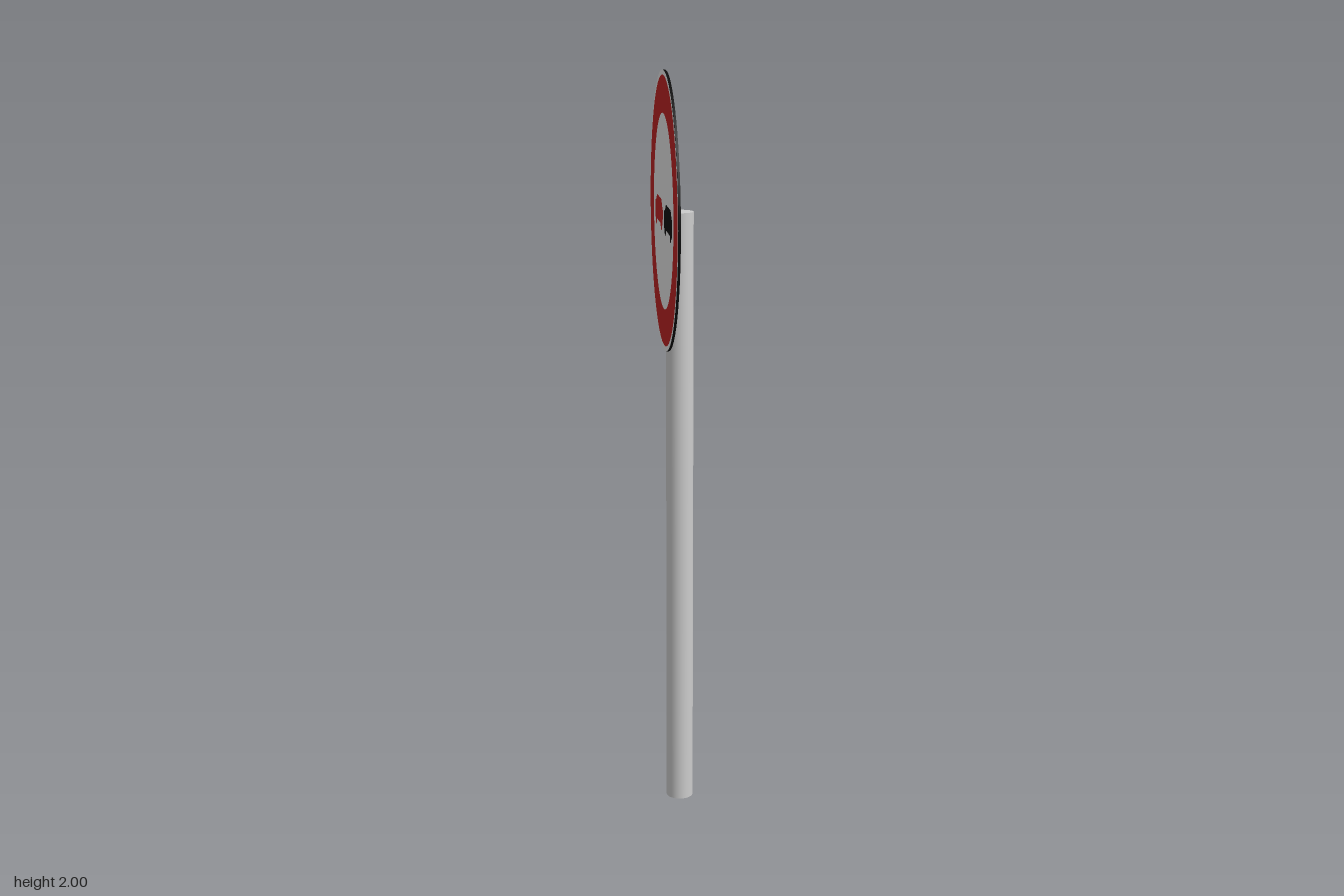
import * as THREE from 'three';

const mat = (name, color) => {
  const m = new THREE.MeshStandardMaterial({ color });
  m.name = name;
  return m;
};

export function createModel() {
  const grey = mat('poleGrey', 0xcccccc);
  const black = mat('black', 0x0d0d0d);
  const white = mat('white', 0xe0e0e0);
  const red = mat('red', 0xb82222);

  const model = new THREE.Group();
  model.name = 'roadSign';
  const add = (parent, name, geometry, material, x = 0, y = 0, z = 0) => {
    const mesh = new THREE.Mesh(geometry, material);
    mesh.name = name;
    mesh.position.set(x, y, z);
    parent.add(mesh);
    return mesh;
  };

  // Pole
  const H = 1.638, R = 0.362;
  add(model, 'pole', new THREE.CylinderGeometry(0.0365, 0.0365, H, 32), grey, 0.003, H / 2, 0);

  // Sign: local +z is the printed side, turned to face -x
  const sign = new THREE.Group();
  sign.name = 'signPlate';
  sign.position.set(-0.0335, H, 0);
  sign.rotation.y = -Math.PI / 2;
  model.add(sign);

  const backing = new THREE.CylinderGeometry(R, R, 0.006, 64).rotateX(Math.PI / 2);
  add(sign, 'backing', backing, black, 0, 0, 0.003);

  // Printed face: white edge, red ring, white centre
  const faceZ = 0.0066;
  add(sign, 'whiteEdge', new THREE.RingGeometry(0.349, R, 64), white, 0, 0, faceZ);
  add(sign, 'redRing', new THREE.RingGeometry(0.253, 0.349, 64), red, 0, 0, faceZ);
  add(sign, 'whiteCentre', new THREE.CircleGeometry(0.253, 64), white, 0, 0, faceZ);

  // Car symbol: side outline with two wheels
  const outline = [
    [-0.1, -0.038], [0.1, -0.038], [0.102, 0.004], [0.085, 0.012], [0.066, 0.028],
    [-0.05, 0.028], [-0.072, 0.012], [-0.1, 0.006],
  ].map(([x, y]) => new THREE.Vector2(x, y));
  const carShape = new THREE.Shape(outline);
  const addCar = (name, material, x) => {
    const car = new THREE.Group();
    car.name = name;
    car.position.set(x, 0, faceZ + 0.0008);
    sign.add(car);
    add(car, 'carBody', new THREE.ShapeGeometry(carShape), material);
    for (const wx of [-0.066, 0.066]) {
      add(car, 'wheel', new THREE.CircleGeometry(0.02, 16), material, wx, -0.034, 0.0002);
    }
  };
  addCar('redCar', red, -0.106);
  addCar('blackCar', black, 0.126);

  return model;
}
